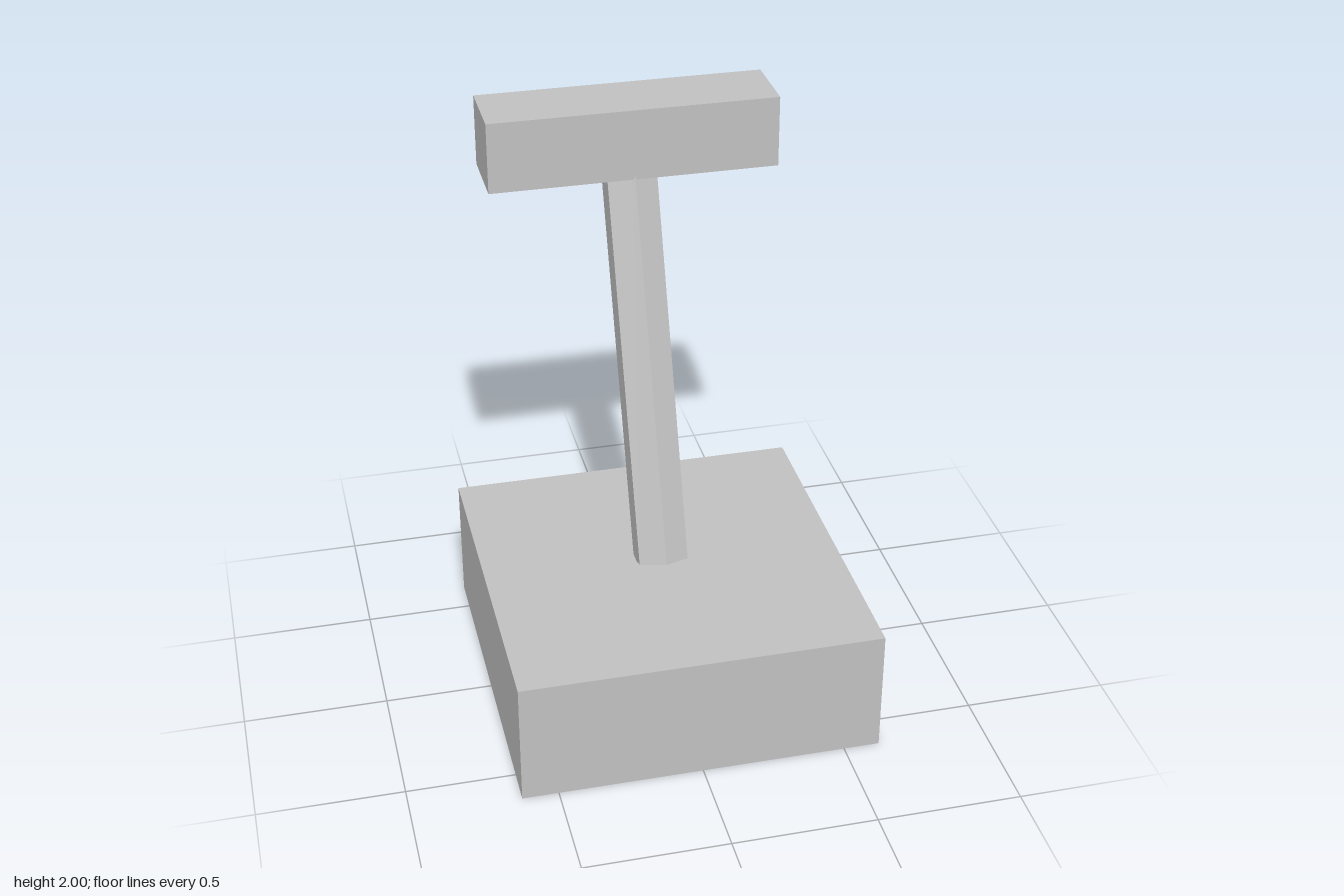
import * as THREE from 'three';

export function createModel() {
  const model = new THREE.Group();
  const grey = new THREE.MeshStandardMaterial({ color: 0xc0c0c0, flatShading: true });
  grey.name = 'grey';

  const add = (name, geometry, x, y, z) => {
    const mesh = new THREE.Mesh(geometry, grey);
    mesh.name = name;
    mesh.position.set(x, y, z);
    model.add(mesh);
    return mesh;
  };

  // Square block standing on the ground
  add('base', new THREE.BoxGeometry(1.25, 0.45, 1.25), 0, 0.225, 0);

  // Hexagonal post leaning backwards, its upper end sunk into the bar
  const length = 1.45;
  const lean = THREE.MathUtils.degToRad(20);
  const post = add('post', new THREE.CylinderGeometry(0.1, 0.1, length, 6).translate(0, length / 2, 0), 0, 0.452, -0.005);
  post.rotation.x = -lean;

  // Crossbar flush with the back of the base
  add('crossbar', new THREE.BoxGeometry(1, 0.25, 0.25), 0, 1.875, -0.5);

  return model;
}
